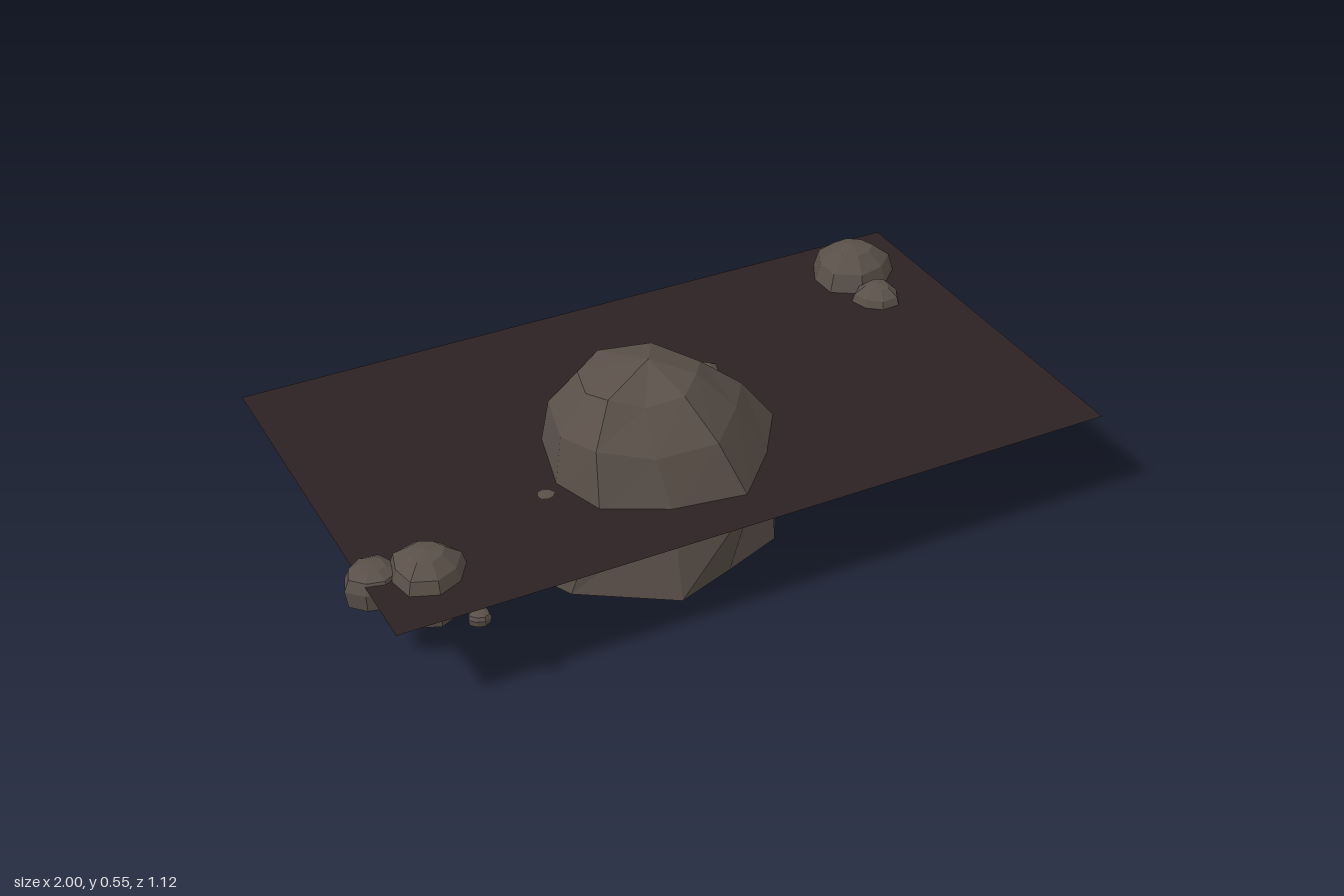
import * as THREE from 'three';

const stone = new THREE.MeshStandardMaterial({ color: 0x5a5049, flatShading: true, side: THREE.DoubleSide });
stone.name = 'stone';
const soil = new THREE.MeshStandardMaterial({ color: 0x2d2223, side: THREE.DoubleSide });
soil.name = 'dark soil';

// Open-bottomed faceted shell: rings of [x, y, z] from low to high, closed by an apex
function shell(name, rings, apex) {
  const pos = [];
  const n = rings[0].length;
  for (let i = 0; i < n; i++) {
    const j = (i + 1) % n;
    for (let r = 0; r < rings.length - 1; r++) {
      const lo = rings[r], hi = rings[r + 1];
      pos.push(...lo[i], ...hi[i], ...lo[j], ...lo[j], ...hi[i], ...hi[j]);
    }
    const top = rings[rings.length - 1];
    pos.push(...top[i], ...apex, ...top[j]);
  }
  const geo = new THREE.BufferGeometry();
  geo.setAttribute('position', new THREE.Float32BufferAttribute(pos, 3));
  geo.computeVertexNormals();
  const mesh = new THREE.Mesh(geo, stone);
  mesh.name = name;
  return mesh;
}

// Large boulder from its ground outline and its waist outline
function boulder() {
  const base = [[-0.16, -0.09], [0.14, 0.02], [0.21, 0.155], [0.17, 0.3], [0, 0.37],
    [-0.17, 0.435], [-0.4, 0.27], [-0.44, 0.2], [-0.33, -0.02]];
  const waist = [[-0.17, -0.15], [0.09, -0.065], [0.26, 0.145], [0.16, 0.29], [0.02, 0.435],
    [-0.18, 0.405], [-0.34, 0.32], [-0.39, 0.17], [-0.34, -0.03]];
  const rings = [
    base.map(([x, z], i) => [x, i === 0 || i === 8 ? 0.02 : 0.006 * (i % 3), z]),
    waist.map(([x, z]) => [x, 0.255, z]),
  ];
  // Domed upper rings: height, scale and sideways shift
  for (const [y, s, dx] of [[0.41, 0.8, -0.034], [0.51, 0.5, -0.04]]) {
    rings.push(waist.map(([x, z], i) => [
      -0.12 + (x + 0.12) * s + dx, y + 0.012 * Math.sin(i * 2.3), 0.14 + (z - 0.14) * s]));
  }
  return shell('boulder', rings, [-0.12, 0.553, 0.15]);
}

// Smaller rock: centre, radii, bottom and top heights
function rock(name, [cx, cz, rx, rz, y0, y1], seed) {
  const n = 8;
  const waist = Math.min(0.255, y0 + (y1 - y0) * 0.5);
  const levels = [[y0, 0.9], [waist, 1], [waist + (y1 - waist) * 0.6, 0.83], [waist + (y1 - waist) * 0.92, 0.45]];
  const rings = levels.map(([y, s]) => Array.from({ length: n }, (_, i) => {
    const a = -Math.PI / 2 + (i + 0.35 * Math.sin(seed)) * Math.PI * 2 / n;
    const k = s * (0.95 + 0.07 * Math.sin(seed * 3.1 + i * 2.4));
    return [cx + rx * k * Math.cos(a), y, cz + rz * k * Math.sin(a)];
  }));
  return shell(name, rings, [cx, y1, cz]);
}

export function createModel() {
  const model = new THREE.Group();
  model.name = 'rockyGround';

  // Flat ground sheet
  const ground = new THREE.Mesh(new THREE.PlaneGeometry(1.96, 1.105).rotateX(-Math.PI / 2), soil);
  ground.name = 'ground';
  ground.position.set(0.02, 0.275, -0.008);
  model.add(ground, boulder());

  // Scattered rocks and pebbles
  const rocks = [
    ['eastRock', [0.8, -0.382, 0.13, 0.122, 0.15, 0.375]],
    ['eastSmallRock', [0.795, -0.235, 0.078, 0.075, 0.188, 0.325]],
    ['westRock', [-0.81, 0.36, 0.104, 0.104, 0.178, 0.345]],
    ['westSmallRock', [-0.925, 0.3, 0.076, 0.072, 0.205, 0.302]],
    ['backPebble', [0.18, -0.125, 0.058, 0.05, 0.21, 0.292]],
    ['backPebble', [0.1, -0.15, 0.032, 0.03, 0.222, 0.27]],
    ['backPebble', [-0.055, -0.235, 0.055, 0.055, 0.208, 0.305]],
    ['backPebble', [-0.02, -0.175, 0.04, 0.038, 0.215, 0.295]],
    ['sidePebble', [-0.43, 0.2, 0.055, 0.05, 0.222, 0.277]],
    ['sidePebble', [-0.5, 0.2, 0.028, 0.025, 0.235, 0.262]],
    ['westPebble', [-0.705, 0.18, 0.037, 0.037, 0.222, 0.272]],
    ['frontPebble', [-0.75, 0.53, 0.03, 0.028, 0.23, 0.262]],
  ];
  rocks.forEach(([name, spec], i) => model.add(rock(name, spec, i + 1)));
  return model;
}
